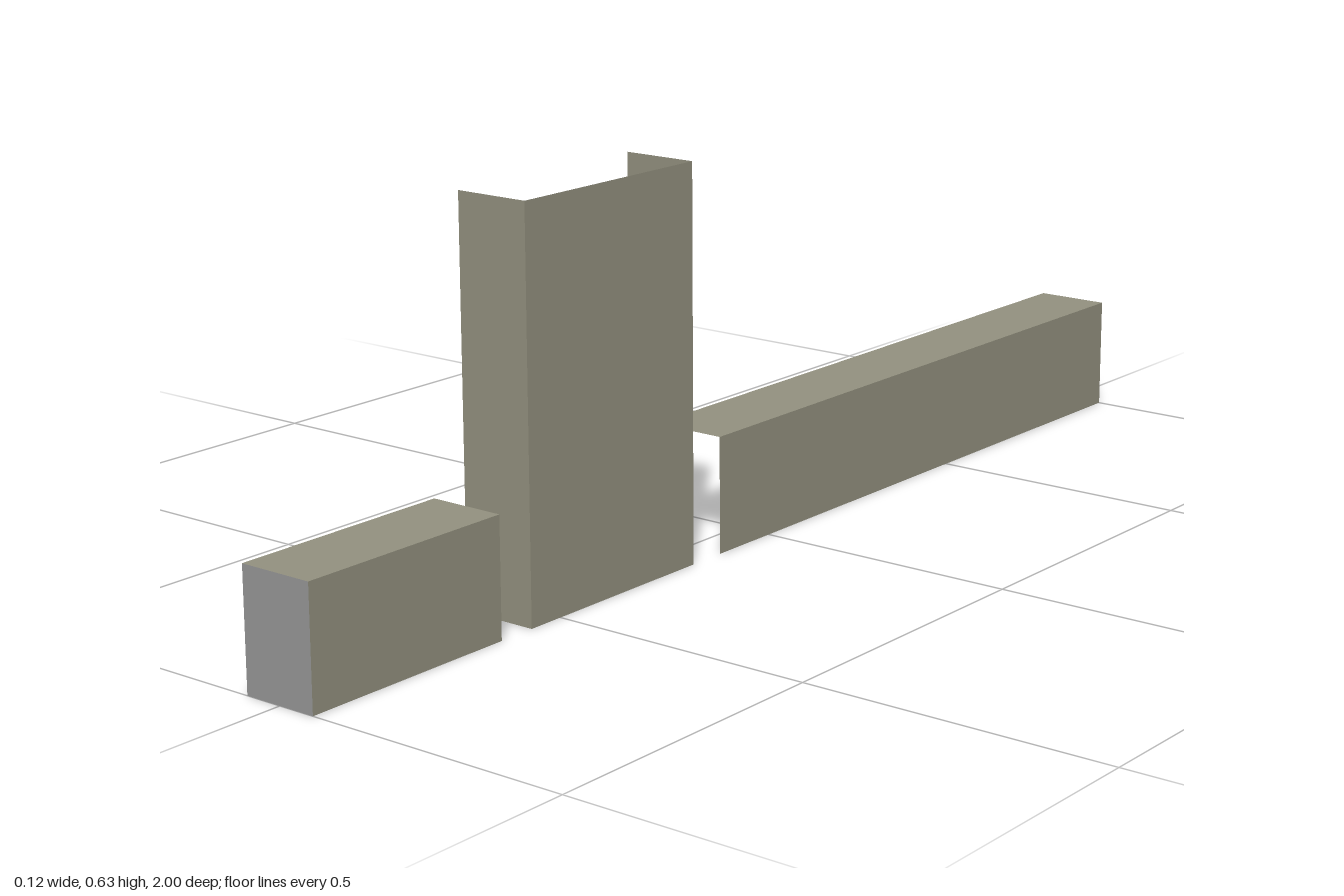
import * as THREE from 'three';

const W = 0.125; // common width across x

export function createModel() {
  const olive = new THREE.MeshStandardMaterial({ name: 'olive', color: 0x949280, side: THREE.DoubleSide });
  const grey = new THREE.MeshStandardMaterial({ name: 'grey', color: 0x989898, side: THREE.DoubleSide });
  const model = new THREE.Group();
  model.name = 'openPanels';

  const panel = (group, name, geometry, material, x, y, z) => {
    const mesh = new THREE.Mesh(geometry, material);
    mesh.name = name;
    mesh.position.set(x, y, z);
    group.add(mesh);
  };

  // An open shell between two z positions: a left wall, plus optional top and end panels
  const shell = (name, zFront, zBack, height, hasTop, endMaterial) => {
    const group = new THREE.Group();
    group.name = name;
    const depth = zFront - zBack, zMid = (zFront + zBack) / 2;
    panel(group, 'sideWall', new THREE.PlaneGeometry(depth, height).rotateY(Math.PI / 2), olive, W / 2, height / 2, zMid);
    if (hasTop) {
      panel(group, 'topPanel', new THREE.PlaneGeometry(W, depth).rotateX(-Math.PI / 2), olive, 0, height, zMid);
    }
    if (endMaterial) {
      panel(group, 'frontEnd', new THREE.PlaneGeometry(W, height), endMaterial, 0, height / 2, zFront);
      panel(group, 'backEnd', new THREE.PlaneGeometry(W, height).rotateY(Math.PI), endMaterial, 0, height / 2, zBack);
    }
    model.add(group);
  };

  shell('shortBlock', 1, 0.627, 0.188, true, grey);
  shell('tallChannel', 0.563, 0.19, 0.627, false, olive);
  shell('longBeam', 0.125, -1, 0.188, true, null);

  return model;
}
